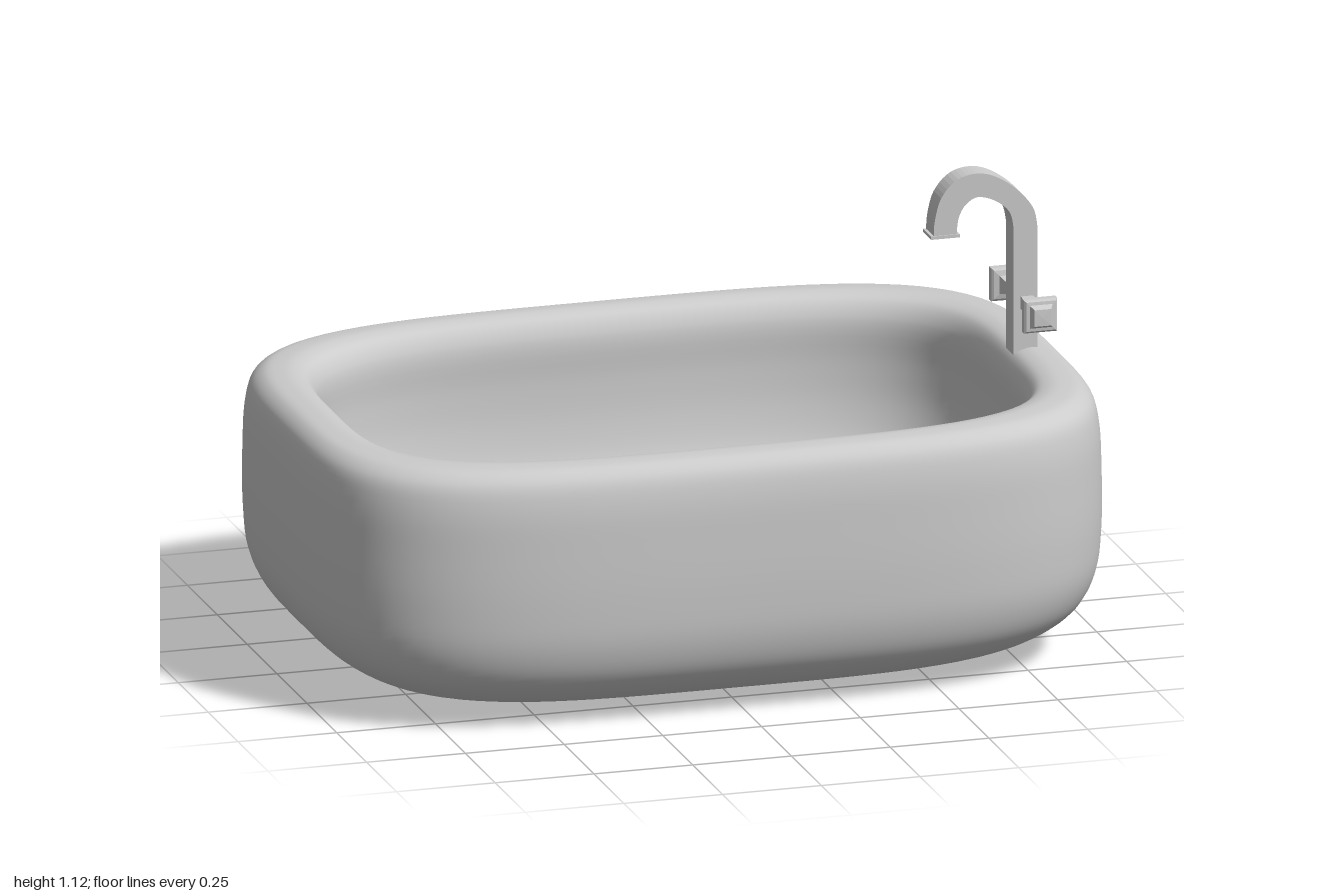
import * as THREE from 'three';

const material = (flatShading = false) => new THREE.MeshStandardMaterial({ color: 0xcccccc, flatShading });

function addMesh(parent, name, geometry, flat) {
  const mesh = new THREE.Mesh(geometry, material(flat));
  mesh.name = name;
  parent.add(mesh);
  return mesh;
}

// Smooth shell: superelliptic rings following a profile of (half width, height, half depth),
// with corners that grow rounder from the first ring to the last
function ringShell(profile, steps, sides, firstPower, lastPower) {
  const curve = new THREE.CatmullRomCurve3(profile.map(p => new THREE.Vector3(...p)), false, 'centripetal');
  const positions = [], index = [];
  for (let i = 0; i <= steps; i++) {
    const p = curve.getPoint(i / steps);
    const power = THREE.MathUtils.lerp(firstPower, lastPower, i / steps);
    for (let j = 0; j < sides; j++) {
      const t = (j / sides) * Math.PI * 2;
      const c = Math.cos(t), s = Math.sin(t);
      const r = Math.pow(Math.abs(c) ** power + Math.abs(s) ** power, -1 / power);
      positions.push(p.x * r * c, Math.max(0, p.y), p.z * r * s);
      if (i < steps) {
        const a = i * sides + j, b = i * sides + (j + 1) % sides;
        index.push(a, a + sides, b, b, a + sides, b + sides);
      }
    }
  }
  const g = new THREE.BufferGeometry();
  g.setAttribute('position', new THREE.Float32BufferAttribute(positions, 3));
  g.setIndex(index);
  g.computeVertexNormals();
  return g;
}

export function createModel() {
  const model = new THREE.Group();
  model.name = 'bathtub';

  // Tub: underside, outer wall, rolled rim, inner wall, floor
  const profile = [
    [0.002, 0, 0.0014], [0.3, 0.003, 0.21], [0.57, 0.013, 0.4], [0.76, 0.035, 0.535],
    [0.873, 0.073, 0.612], [0.948, 0.132, 0.664], [0.986, 0.21, 0.69], [0.999, 0.32, 0.699],
    [1, 0.46, 0.7], [0.995, 0.57, 0.696], [0.982, 0.63, 0.682], [0.955, 0.658, 0.655],
    [0.92, 0.666, 0.622], [0.885, 0.665, 0.588], [0.855, 0.65, 0.557], [0.835, 0.605, 0.536],
    [0.834, 0.5, 0.536], [0.828, 0.395, 0.528], [0.8, 0.3, 0.504], [0.74, 0.228, 0.456],
    [0.64, 0.18, 0.387], [0.48, 0.156, 0.285], [0.25, 0.149, 0.15], [0.002, 0.148, 0.0013],
  ];
  addMesh(model, 'tub', ringShell(profile, 115, 128, 3.95, 3.5));

  // Drain set into the floor
  addMesh(model, 'drain', new THREE.CylinderGeometry(0.044, 0.044, 0.02, 24)).position.set(0.44, 0.155, -0.035);

  const faucet = new THREE.Group();
  faucet.name = 'faucet';
  model.add(faucet);

  // Square-section post and bent spout
  const points = list => list.map(p => new THREE.Vector2(...p));
  const outline = new THREE.Shape();
  outline.moveTo(0.916, 0.64);
  outline.lineTo(0.916, 0.97);
  outline.splineThru(points([[0.905, 1.02], [0.865, 1.07], [0.81, 1.108], [0.76, 1.12],
    [0.71, 1.107], [0.672, 1.065], [0.656, 1.01], [0.653, 0.97]]));
  outline.lineTo(0.711, 0.97);
  outline.splineThru(points([[0.716, 1.01], [0.733, 1.042], [0.765, 1.06], [0.81, 1.046],
    [0.845, 1.015], [0.855, 0.975]]));
  outline.lineTo(0.855, 0.64);
  const spout = new THREE.ExtrudeGeometry(outline, { depth: 0.064, bevelEnabled: false, curveSegments: 4 });
  spout.translate(0, 0, -0.032);
  addMesh(faucet, 'spout', spout);

  // Thin lip at the spout opening
  addMesh(faucet, 'spoutLip', new THREE.BoxGeometry(0.073, 0.008, 0.07), true).position.set(0.682, 0.967, 0);

  // Four-sided handle on each side of the post: arm, flange and end cap
  const handleProfile = points([
    [0, 0.02], [0.016, 0.02], [0.016, 0.095], [0.023, 0.12], [0.036, 0.123], [0.042, 0.128],
    [0.042, 0.146], [0.037, 0.151], [0.029, 0.152], [0.021, 0.166], [0, 0.167],
  ].map(([r, y]) => [r * Math.SQRT2, y]));
  for (const side of [1, -1]) {
    const handle = new THREE.LatheGeometry(handleProfile, 4);
    handle.rotateY(Math.PI / 4).rotateX(side * Math.PI / 2);
    addMesh(faucet, side > 0 ? 'frontHandle' : 'backHandle', handle, true).position.set(0.889, 0.782, 0);
  }
  return model;
}
